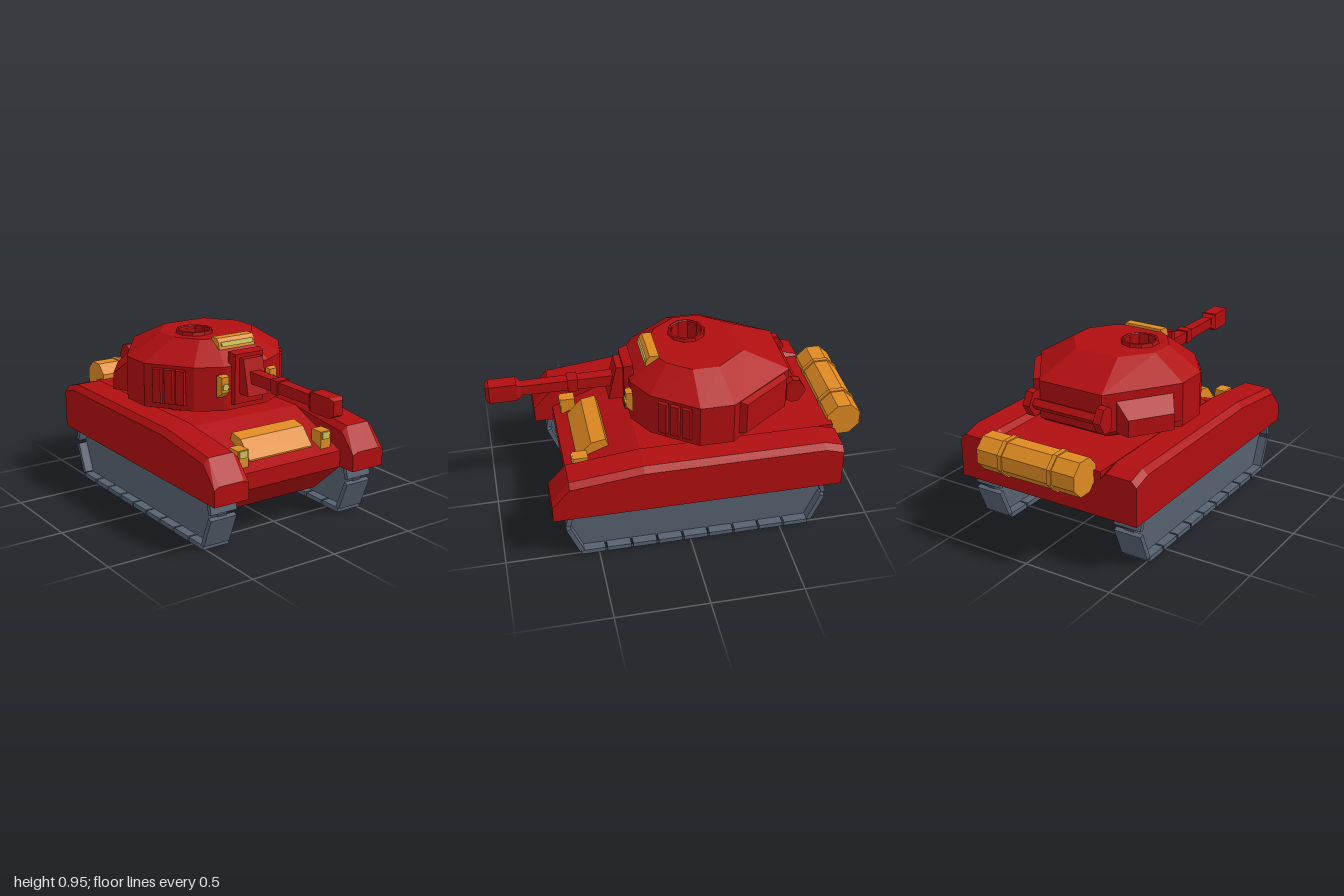
import * as THREE from 'three';

const mat = (name, color, side = THREE.FrontSide) => {
  const m = new THREE.MeshStandardMaterial({ color, flatShading: true, side });
  m.name = name;
  return m;
};

// Skin between rings of [x, y, z]; rings run counter-clockwise seen from the last ring
function loft(rings, capStart = true, capEnd = true) {
  const pos = [];
  const tri = (a, b, c) => pos.push(...a, ...b, ...c);
  const n = rings[0].length;
  for (let r = 0; r < rings.length - 1; r++) {
    for (let i = 0; i < n; i++) {
      const j = (i + 1) % n, p = rings[r], q = rings[r + 1];
      tri(p[i], p[j], q[j]);
      tri(p[i], q[j], q[i]);
    }
  }
  const first = rings[0], last = rings[rings.length - 1];
  for (let i = 1; i < n - 1; i++) {
    if (capStart) tri(first[0], first[i + 1], first[i]);
    if (capEnd) tri(last[0], last[i], last[i + 1]);
  }
  const g = new THREE.BufferGeometry();
  g.setAttribute('position', new THREE.Float32BufferAttribute(pos, 3));
  g.computeVertexNormals();
  return g;
}

// Side profile of [z, y] stretched from x0 to x1
function prism(profile, x0, x1) {
  const area = THREE.ShapeUtils.area(profile.map(([z, y]) => new THREE.Vector2(-z, y)));
  const pts = area < 0 ? [...profile].reverse() : profile;
  return loft([x0, x1].map((x) => pts.map(([z, y]) => [x, y, z])));
}

// Bevelled block growing along +z from a w0 x h0 base to a w1 x h1 face, shifted by dy
function frustum(w0, h0, w1, h1, d, dy = 0) {
  const rect = (w, h, z, y) => [[-w / 2, y - h / 2, z], [w / 2, y - h / 2, z], [w / 2, y + h / 2, z], [-w / 2, y + h / 2, z]];
  return loft([rect(w0, h0, 0, 0), rect(w1, h1, d, dy)]);
}

// Half outline of [x, z], front to back, mirrored to a ring at height y
const outline = (half, y) => [...half, ...[...half].reverse().map(([x, z]) => [-x, z])].map(([x, z]) => [x, y, z]);

export function createModel() {
  const red = mat('red paint', 0xb00e10, THREE.DoubleSide);
  const gold = mat('amber', 0xdf8a22);
  const grey = mat('track grey', 0x566170);
  const yellow = mat('lamp yellow', 0xcdc25a);

  const model = new THREE.Group();
  const add = (parent, name, geo, material, x = 0, y = 0, z = 0) => {
    const m = new THREE.Mesh(geo, material);
    m.name = name;
    m.position.set(x, y, z);
    parent.add(m);
    return m;
  };
  const box = (w, h, d) => new THREE.BoxGeometry(w, h, d);

  // Hull and tapering belly
  add(model, 'hull', prism([[-0.82, 0.28], [0.63, 0.28], [0.63, 0.37], [0.24, 0.525], [-0.82, 0.525]], -0.335, 0.335), red);
  const base = (x, front, back, y) => outline([[x, front], [x, back]], y);
  add(model, 'belly', loft([base(0.27, 0.5, -0.58, 0.135), base(0.335, 0.63, -0.82, 0.28)]), red);

  for (const s of [1, -1]) {
    // Fender, lofted front to back with chamfered shoulders
    const sections = [[-0.82, 0.52], [-0.72, 0.55], [0.25, 0.55], [0.64, 0.505], [0.735, 0.385]].map(([z, top]) => {
      const sh = top - (z > 0.7 ? 0.015 : 0.03);
      const ring = [[0.335, 0.28], [0.54, 0.28], [0.54, sh], [0.51, top], [0.365, top], [0.335, sh]].map(([x, y]) => [s * x, y, z]);
      return s > 0 ? ring : ring.reverse();
    });
    add(model, 'fender', loft(sections), red);

    // Track: narrow core wrapped in wide plates
    const track = new THREE.Group();
    track.name = 'track';
    track.position.x = s * 0.4375;
    model.add(track);
    add(track, 'trackCore', prism([[0.635, 0.29], [0.655, 0.2], [0.59, 0.015], [-0.66, 0.015], [-0.73, 0.2], [-0.705, 0.29]], -0.0275, 0.0275), grey);
    const plate = (z1, y1, z2, y2) => {
      const m = add(track, 'trackPlate', box(0.155, 0.026, Math.hypot(z2 - z1, y2 - y1)), grey, 0, (y1 + y2) / 2, (z1 + z2) / 2);
      m.rotation.x = Math.atan2(y1 - y2, z2 - z1);
    };
    for (let i = 0; i < 9; i++) plate(0.595 - i * 0.14, 0.013, 0.465 - i * 0.14, 0.013);
    plate(0.592, 0.025, 0.656, 0.185);
    plate(0.658, 0.21, 0.638, 0.285);
    plate(-0.664, 0.025, -0.732, 0.185);
    plate(-0.734, 0.21, -0.71, 0.285);

    // Headlamp on the sloping front
    add(model, 'headlamp', box(0.065, 0.095, 0.08), gold, s * 0.267, 0.433, 0.55);
    add(model, 'headlampLens', box(0.05, 0.038, 0.008), yellow, s * 0.267, 0.458, 0.592);
  }

  // Box on the sloping front
  add(model, 'frontBox', prism([[0.38, 0.45], [0.4, 0.51], [0.48, 0.495], [0.56, 0.405], [0.56, 0.38]], -0.205, 0.2), gold);

  // Rear drum with two straps
  const drum = (name, r, len, x) => {
    const g = new THREE.CylinderGeometry(r, r, len, 8);
    g.rotateY(Math.PI / 8);
    g.rotateZ(Math.PI / 2);
    add(model, name, g, gold, x, 0.515, -0.893);
  };
  drum('rearDrum', 0.1, 0.59, 0);
  for (const x of [-0.15, 0.15]) drum('drumStrap', 0.107, 0.025, x);

  // Turret
  const turret = new THREE.Group();
  turret.name = 'turret';
  turret.position.x = -0.006;
  model.add(turret);
  const neck = [[0.19, 0.02], [0.27, -0.06], [0.27, -0.24], [0.19, -0.32]];
  add(turret, 'turretNeck', loft([outline(neck, 0.5), outline(neck, 0.6)]), red);
  const wall = [[0.14, 0.25], [0.28, 0.17], [0.445, -0.06], [0.445, -0.24], [0.19, -0.6]];
  const foot = [[0.14, 0.25], [0.28, 0.17], [0.445, -0.06], [0.445, -0.24], [0.19, -0.55]];
  const roof = [[0.1, 0.1], [0.17, 0.06], [0.255, -0.06], [0.255, -0.2], [0.13, -0.36]];
  add(turret, 'turretShell', loft([outline(foot, 0.577), outline(wall, 0.61), outline(wall, 0.815), outline(roof, 0.93)], true, false), red);

  // Roof with an open hatch
  const hx = -0.1, hz = -0.1;
  const shape = new THREE.Shape(outline(roof, 0).map(([x, , z]) => new THREE.Vector2(x, -z)));
  const hole = new THREE.Path();
  for (let i = 0; i <= 10; i++) {
    const a = (-i / 10) * Math.PI * 2, x = hx + 0.085 * Math.cos(a), y = -hz + 0.085 * Math.sin(a);
    if (i) hole.lineTo(x, y);
    else hole.moveTo(x, y);
  }
  shape.holes.push(hole);
  add(turret, 'turretRoof', new THREE.ShapeGeometry(shape).rotateX(-Math.PI / 2), red, 0, 0.93, 0);
  const rim = [[0.085, 0.76], [0.085, 0.945], [0.09, 0.95], [0.1, 0.948], [0.105, 0.925]].map((p) => new THREE.Vector2(...p));
  add(turret, 'hatchRim', new THREE.LatheGeometry(rim, 10), red, hx, 0, hz);
  add(turret, 'hatchFloor', new THREE.CylinderGeometry(0.087, 0.087, 0.01, 10), grey, hx, 0.76, hz);

  // Roof sight
  add(turret, 'roofSight', prism([[0.08, 0.89], [0.165, 0.885], [0.155, 0.925], [0.14, 0.943], [0.09, 0.943]], -0.115, 0.115), gold);
  add(turret, 'sightGlass', box(0.2, 0.026, 0.008), yellow, 0, 0.912, 0.162).rotation.x = -0.22;

  // Gun shield and gun
  add(turret, 'shieldFrame', frustum(0.205, 0.29, 0.18, 0.27, 0.05), red, 0, 0.745, 0.225);
  add(turret, 'gunShield', prism([[0.25, 0.665], [0.355, 0.665], [0.31, 0.86], [0.25, 0.86]], -0.062, 0.062), red);
  const gun = (name, r0, r1, len, z) => {
    const g = new THREE.CylinderGeometry(r1 * Math.SQRT2, r0 * Math.SQRT2, len, 4);
    g.rotateY(Math.PI / 4);
    g.rotateX(Math.PI / 2);
    add(turret, name, g, red, 0, 0.76, z);
  };
  gun('barrel', 0.032, 0.028, 0.55, 0.575);
  gun('barrelCollar', 0.037, 0.037, 0.055, 0.54);
  gun('muzzleTaper', 0.03, 0.045, 0.025, 0.825);
  add(turret, 'muzzle', frustum(0.08, 0.1, 0.08, 0.1, 0.145), red, 0, 0.76, 0.836);
  add(turret, 'muzzleTip', frustum(0.08, 0.1, 0.055, 0.075, 0.019), red, 0, 0.76, 0.981);

  for (const s of [1, -1]) {
    // Turret lamps
    add(turret, 'turretLamp', frustum(0.064, 0.122, 0.044, 0.085, 0.035, 0.012), gold, s * 0.155, 0.715, 0.245);
    const lens = new THREE.CylinderGeometry(0.02, 0.02, 0.008, 8).rotateX(Math.PI / 2);
    add(turret, 'turretLampLens', lens, yellow, s * 0.155, 0.716, 0.283);

    // Ribs on the angled cheeks
    for (const k of [-1, 0, 1]) {
      const rib = add(turret, 'cheekRib', frustum(0.058, 0.195, 0.045, 0.185, 0.014), red, s * (0.3625 + k * 0.038), 0.7, 0.055 - k * 0.055);
      rib.rotation.y = s * Math.atan2(0.23, 0.165);
    }

    // Ends of the rear bar
    add(turret, 'rearBarEnd', prism([[-0.58, 0.65], [-0.58, 0.75], [-0.61, 0.77], [-0.65, 0.765], [-0.687, 0.7], [-0.65, 0.635], [-0.61, 0.63]], s * 0.215 - 0.022, s * 0.215 + 0.022), red);
  }
  add(turret, 'rearBar', prism([[-0.615, 0.68], [-0.615, 0.72], [-0.64, 0.73], [-0.665, 0.7], [-0.64, 0.67]], -0.22, 0.22), red);

  // Thin panel on the left rear side, deeper sloping bin on the right
  const yaw = Math.atan2(0.36, -0.255);
  add(turret, 'sidePanel', frustum(0.36, 0.2, 0.32, 0.18, 0.035), red, 0.3175, 0.71, -0.42).rotation.y = yaw;
  add(turret, 'sideBin', frustum(0.31, 0.17, 0.25, 0.09, 0.085, -0.035), red, -0.325, 0.685, -0.41).rotation.y = -yaw;

  return model;
}
